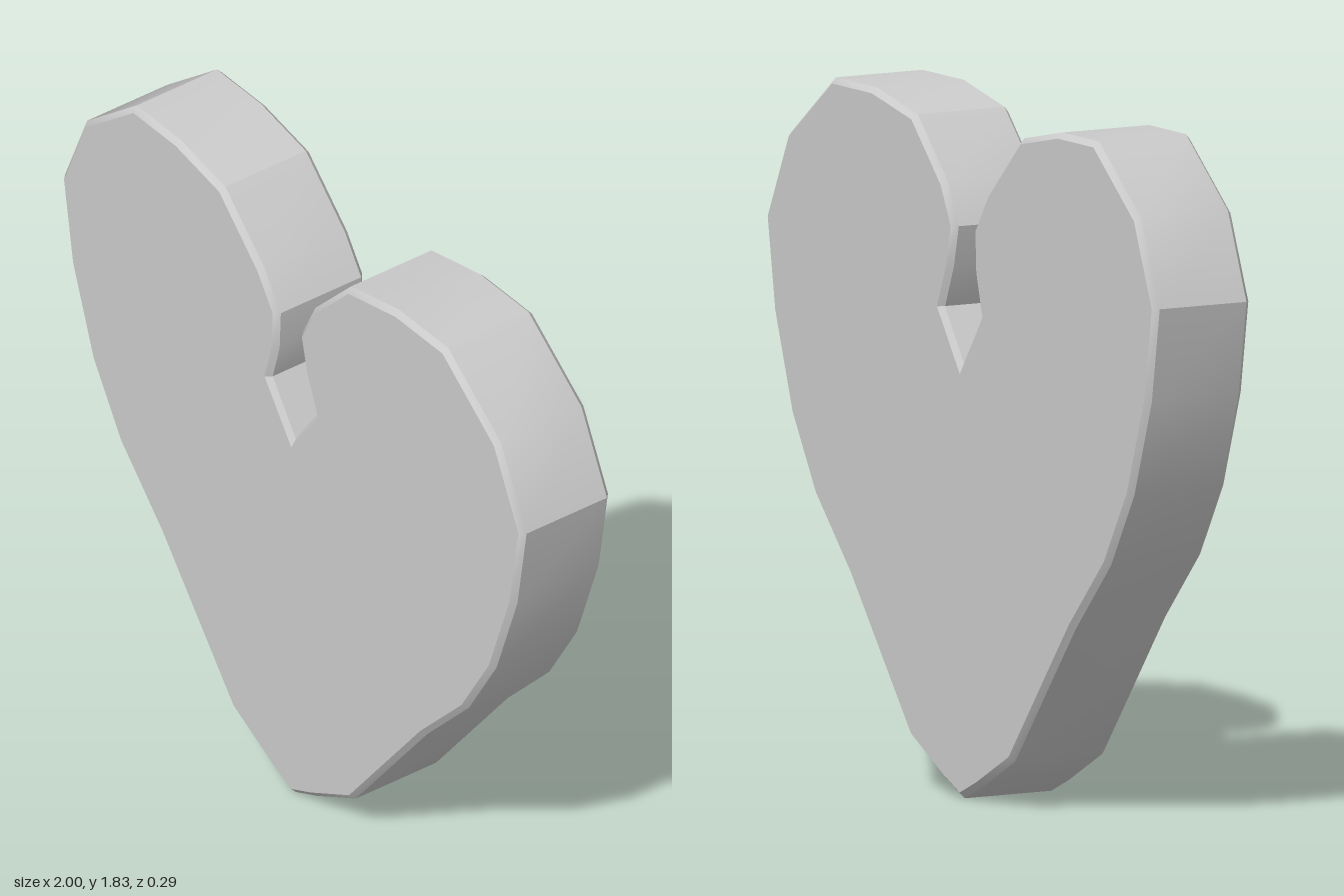
import * as THREE from 'three';
import { toCreasedNormals } from 'three/addons/utils/BufferGeometryUtils.js';

export function createModel() {
  const group = new THREE.Group();
  group.name = 'heart';

  // Lower flank, from beside the tip up to the widest point (mirrored on both sides)
  const flank = [[0.09, 0.04], [0.26, 0.13], [0.57, 0.52], [0.75, 0.71], [0.87, 0.91], [0.96, 1.17], [1, 1.42]];
  // The two lobes differ slightly, each running from the outside into the notch
  const leftLobe = [[0.89, 1.65], [0.66, 1.825], [0.45, 1.825], [0.24, 1.78], [0.085, 1.62], [0.03, 1.51], [0.055, 1.4], [0.1, 1.29]];
  const rightLobe = [[-0.1, 1.29], [-0.07, 1.4], [-0.065, 1.515], [-0.135, 1.62], [-0.305, 1.785], [-0.5, 1.825], [-0.69, 1.825], [-0.905, 1.65]];
  const mirrored = flank.map(([x, y]) => [-x, y]).reverse();
  const outline = [[0, 0], ...flank, ...leftLobe, [0, 1.145], ...rightLobe, ...mirrored];

  // Slab with a narrow chamfer around both faces
  const chamfer = 0.015;
  const halfDepth = 0.147;
  const depth = 2 * (halfDepth - chamfer);
  const geometry = new THREE.ExtrudeGeometry(
    new THREE.Shape(outline.map(([x, y]) => new THREE.Vector2(x, y))),
    { depth, bevelEnabled: true, bevelThickness: chamfer, bevelSize: chamfer, bevelOffset: -chamfer, bevelSegments: 1 }
  );
  geometry.translate(0, 0, -depth / 2);

  const body = new THREE.Mesh(
    toCreasedNormals(geometry, Math.PI / 6),
    new THREE.MeshStandardMaterial({ color: 0xcccccc })
  );
  body.name = 'heartBody';
  group.add(body);
  return group;
}
